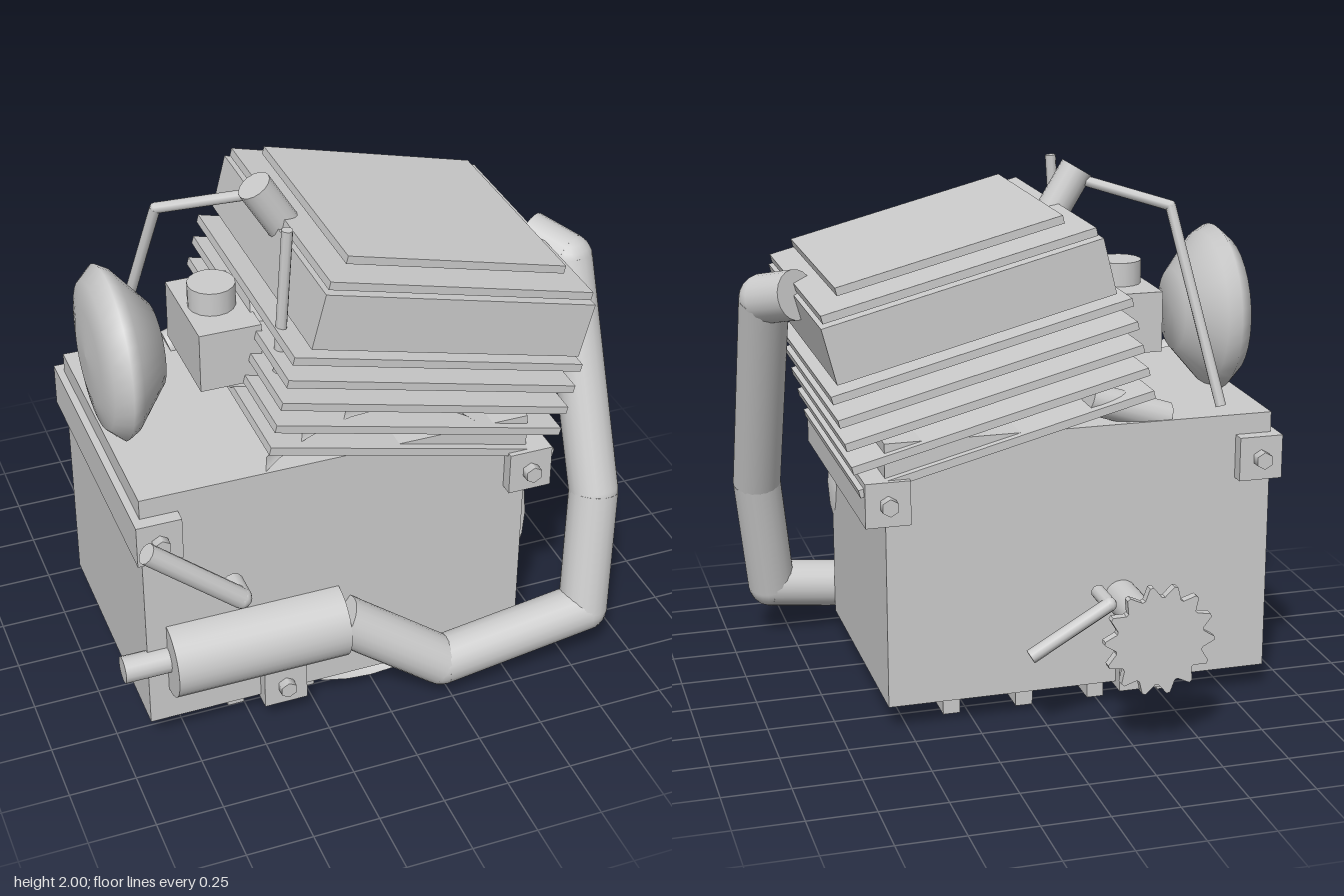
import * as THREE from 'three';

export function createModel() {
  const root = new THREE.Group();
  const metal = new THREE.MeshStandardMaterial({ color: 0xcccccc });
  metal.name = 'light grey metal';
  const metalOpen = metal.clone();
  metalOpen.side = THREE.DoubleSide;

  const V = (p) => new THREE.Vector3(...p);
  const add = (name, geo, pos = [0, 0, 0], parent = root, mat = metal) => {
    const m = new THREE.Mesh(geo, mat);
    m.name = name;
    m.position.set(...pos);
    parent.add(m);
    return m;
  };
  const box = (name, size, pos, parent) => add(name, new THREE.BoxGeometry(...size), pos, parent);
  // box given by its minimum and maximum corners
  const span = (name, a, b) =>
    box(name, a.map((v, i) => b[i] - v), a.map((v, i) => (v + b[i]) / 2));
  // straight rod between two points
  const rod = (name, a, b, r, sides = 16, parent = root) => {
    const p = V(a), q = V(b), d = q.clone().sub(p);
    const m = add(name, new THREE.CylinderGeometry(r, r, d.length(), sides), [0, 0, 0], parent);
    m.position.copy(p).add(q).multiplyScalar(0.5);
    m.quaternion.setFromUnitVectors(new THREE.Vector3(0, 1, 0), d.normalize());
    return m;
  };
  // bent pipe: rods with round joints
  const pipe = (name, pts, r, sides = 16) => {
    const g = new THREE.Group();
    g.name = name;
    root.add(g);
    for (let i = 1; i < pts.length; i++) {
      rod(name + 'Segment', pts[i - 1], pts[i], r, sides, g);
      if (i < pts.length - 1) add(name + 'Elbow', new THREE.SphereGeometry(r, sides, 10), pts[i], g);
    }
    return g;
  };

  // crankcase and feet
  span('crankcase', [-0.89, 0.1, -0.4], [0.575, 1.11, 0.59]);
  for (let i = 0; i < 4; i++) {
    const x = -0.565 + i * 0.282;
    span('foot', [x, 0, -0.3], [x + 0.065, 0.105, 0.5]);
  }

  // mounting bars running front to back, with hex bolts
  for (const [x, y] of [[-0.835, 0.95], [0.575, 0.9], [-0.38, 0.163]]) {
    span('mountingBar', [x - 0.083, y - 0.083, -0.45], [x + 0.083, y + 0.083, 0.64]);
    rod('mountingBolt', [x, y, -0.49], [x, y, 0.675], 0.033, 6);
  }

  // round side cover, a shallow bowl open to the front
  const bowl = [[0, 0.42], [0.35, 0.43], [0.52, 0.46], [0.59, 0.5], [0.61, 0.58]];
  const cover = add('sideCover',
    new THREE.LatheGeometry(bowl.map(([r, z]) => new THREE.Vector2(r, z)), 40),
    [-0.015, 0.66, 0], root, metalOpen);
  cover.rotation.x = Math.PI / 2;

  // tilted cylinder with cooling fins and head
  const top = new THREE.Group();
  top.name = 'cylinderAssembly';
  top.position.set(0.237, 1.476, 0.095);
  top.rotation.z = -0.25;
  root.add(top);
  add('cylinderBarrel', new THREE.CylinderGeometry(0.3, 0.3, 0.7, 32), [0, -0.34, 0], top);
  for (let i = 0; i < 5; i++) box('coolingFin', [1.13, 0.03, 1.05], [-0.01, -0.05 - i * 0.09, 0], top);
  box('cylinderHead', [1.046, 0.21, 1.06], [0, 0.105, 0], top);
  box('headPlate', [1.02, 0.03, 1.025], [0, 0.235, 0], top);
  box('headCover', [0.85, 0.03, 0.85], [0, 0.29, 0], top);

  // spark plug, its lead, and the slim upright rod
  rod('sparkPlug', [-0.285, 1.965, 0.095], [-0.16, 1.76, 0.095], 0.063, 16);
  pipe('sparkLead', [[-0.27, 1.93, 0.09], [-0.59, 1.84, -0.09], [-0.725, 1.12, -0.31]], 0.02, 8);
  rod('uprightRod', [-0.28, 1.96, 0.42], [-0.325, 1.18, 0.4], 0.021, 8);

  // carburettor, intake and throttle link
  span('carburettor', [-0.56, 1.29, -0.11], [-0.33, 1.52, 0.285]);
  rod('carburettorCap', [-0.45, 1.5, 0.09], [-0.45, 1.61, 0.09], 0.087, 16);
  rod('intake', [-0.36, 1.45, 0.09], [0.1, 1.33, 0.09], 0.13, 16);
  pipe('throttleLink', [[-0.46, 1.3, 0.2], [-0.42, 1.24, 0.2], [-0.33, 1.2, 0.2]], 0.015, 8);
  rod('starterHousing', [-0.5, 1.1, -0.335], [-0.2, 1.2, -0.335], 0.06, 16);

  // air filter, turned about the x axis
  const filterProfile = [[0, 0.67], [0.155, 0.67], [0.295, 0.79], [0.32, 0.835], [0.27, 0.89], [0.17, 0.91], [0, 0.92]];
  const filter = add('airFilter',
    new THREE.LatheGeometry(filterProfile.map(([r, h]) => new THREE.Vector2(r, h)), 32),
    [0, 1.4, 0.09], root, metalOpen);
  filter.rotation.z = Math.PI / 2;

  // muffler and exhaust
  rod('muffler', [-0.815, 0.385, 0.59], [-0.155, 0.385, 0.59], 0.146, 32);
  rod('tailPipe', [-0.985, 0.385, 0.595], [-0.8, 0.385, 0.595], 0.05, 16);
  pipe('exhaustPipe', [
    [-0.16, 0.41, 0.635], [0.22, 0.145, 0.695], [0.82, 0.215, 0.675],
    [0.88, 0.69, 0.575], [0.882, 1.51, 0.23], [0.785, 1.55, 0.09],
  ], 0.094, 20);

  // kick lever at the front and shift lever at the back
  pipe('kickLever', [[-0.6, 0.77, 0.715], [-0.6, 0.77, 0.808], [-0.93, 1.055, 0.808]], 0.038, 12);
  pipe('shiftLever', [[-0.195, 0.505, -0.49], [-0.195, 0.505, -0.62], [0.1, 0.335, -0.62]], 0.027, 10);

  // output shaft and toothed sprocket
  rod('outputShaft', [-0.315, 0.44, -0.38], [-0.315, 0.44, -0.82], 0.065, 20);
  const teeth = 14, star = [];
  for (let i = 0; i < teeth * 4; i++) {
    const r = i % 4 < 2 ? 0.205 : 0.165;
    const a = ((i + (i % 2 ? -0.2 : 0.2)) / (teeth * 4)) * Math.PI * 2;
    star.push(new THREE.Vector2(r * Math.cos(a), r * Math.sin(a)));
  }
  add('sprocket',
    new THREE.ExtrudeGeometry(new THREE.Shape(star), { depth: 0.032, bevelEnabled: false }),
    [-0.31, 0.44, -0.845]);

  return root;
}
